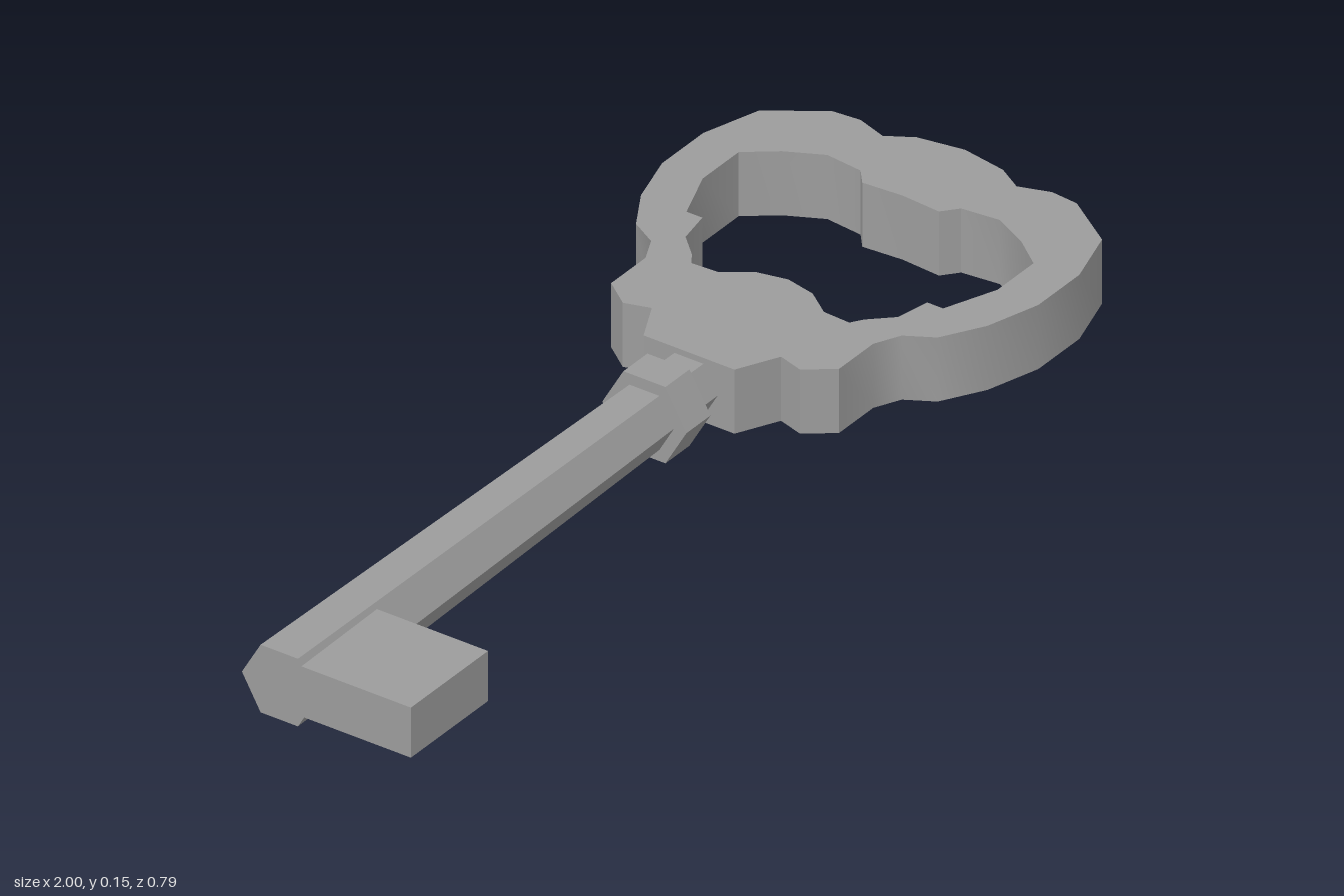
import * as THREE from 'three';
import { toCreasedNormals } from 'three/addons/utils/BufferGeometryUtils.js';

const MID = 0.076; // height of the key's axis

// Mirrors half an outline (z <= 0) into a closed loop; first and last points may lie on the axis.
function mirrored(half) {
  const other = half.filter((p) => p[1] !== 0).reverse().map(([x, z]) => [x, -z]);
  return [...half, ...other].map(([x, z]) => new THREE.Vector2(x, z));
}

// Six-sided bar along x with flat top and bottom
function hexBar(name, x0, x1, r0, r1, material) {
  const geo = new THREE.CylinderGeometry(r1, r0, x1 - x0, 6);
  geo.rotateZ(-Math.PI / 2);
  const mesh = new THREE.Mesh(toCreasedNormals(geo, 0.5), material);
  mesh.position.set((x0 + x1) / 2, MID, 0);
  mesh.name = name;
  return mesh;
}

export function createModel() {
  const key = new THREE.Group();
  key.name = 'key';
  const iron = new THREE.MeshStandardMaterial({ color: 0x9c9c9c });
  iron.name = 'grey iron';

  // Shaft and collar
  key.add(hexBar('shaft', -1, 0.22, 0.078, 0.06, iron));
  key.add(hexBar('collar', 0.065, 0.135, 0.088, 0.088, iron));

  // Bit
  const bit = new THREE.Mesh(new THREE.BoxGeometry(0.225, 0.1, 0.255), iron);
  bit.position.set(-0.8875, 0.081, 0.1475);
  bit.name = 'bit';
  key.add(bit);

  // Lobed bow with a shaped opening
  const outer = [
    [0.195, -0.095], [0.275, -0.135], [0.26, -0.185], [0.3, -0.238], [0.4, -0.238],
    [0.45, -0.262], [0.48, -0.315], [0.56, -0.362], [0.665, -0.393], [0.785, -0.393],
    [0.9, -0.358], [0.97, -0.255], [0.975, -0.2], [0.955, -0.14], [0.985, -0.09], [1, 0],
  ];
  const inner = [
    [0.485, 0], [0.472, -0.06], [0.435, -0.11], [0.432, -0.165], [0.455, -0.18],
    [0.495, -0.222], [0.562, -0.235], [0.562, -0.268], [0.665, -0.308], [0.77, -0.308],
    [0.815, -0.25], [0.85, -0.18], [0.842, -0.105], [0.812, -0.08], [0.818, 0],
  ];
  const shape = new THREE.Shape(mirrored(outer));
  shape.holes.push(new THREE.Path(mirrored(inner)));
  const bowGeo = new THREE.ExtrudeGeometry(shape, { depth: 0.128, bevelEnabled: false });
  bowGeo.rotateX(Math.PI / 2);
  const bow = new THREE.Mesh(toCreasedNormals(bowGeo, 0.7), iron);
  bow.position.y = 0.14;
  bow.name = 'bow';
  key.add(bow);

  return key;
}
